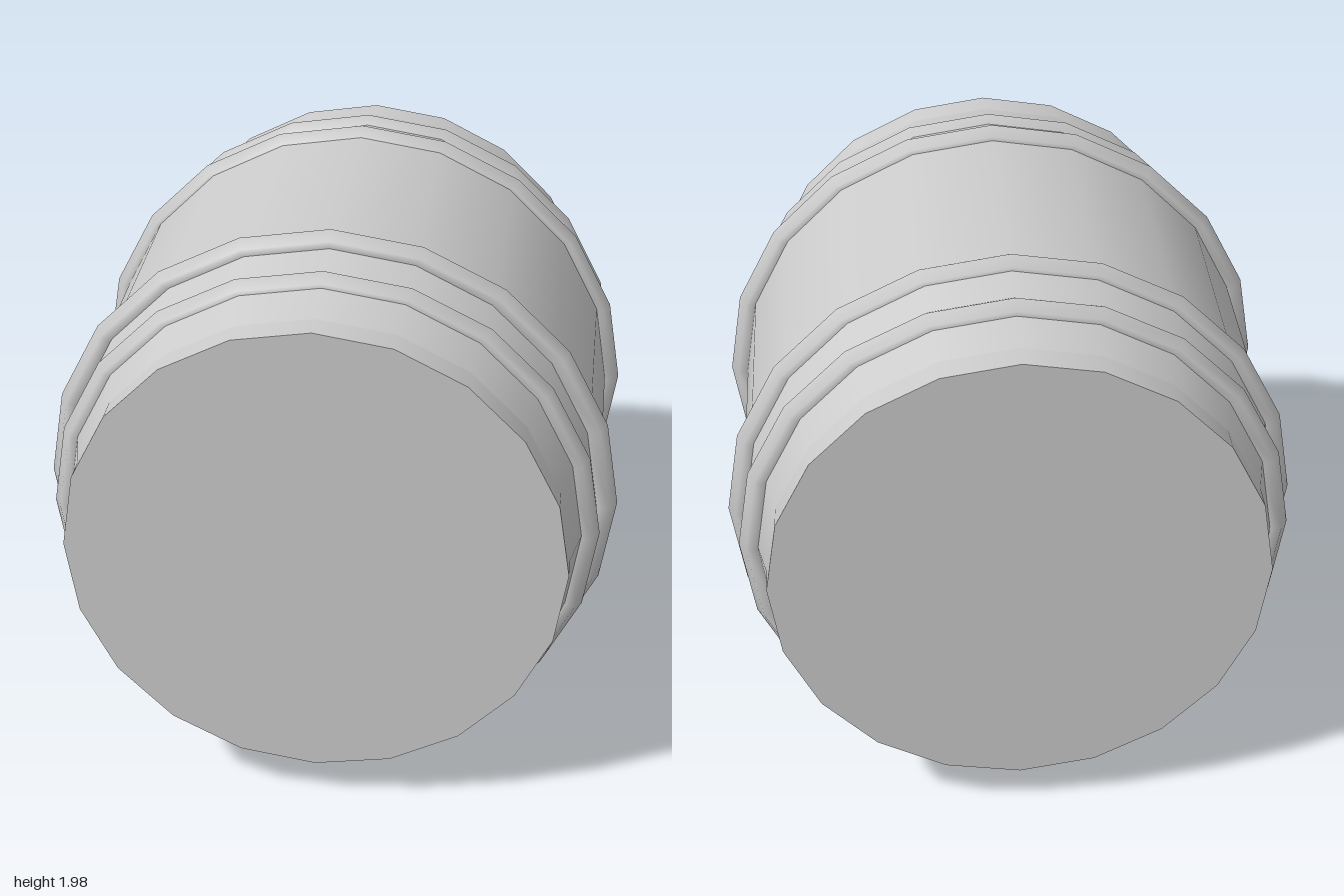
import * as THREE from 'three';

const SIDES = 20;
const CENTRE_Y = 1.004;

export function createModel() {
  const group = new THREE.Group();
  const material = new THREE.MeshStandardMaterial({ color: 0xcccccc });

  function add(name, geometry, y, z) {
    const mesh = new THREE.Mesh(geometry, material);
    mesh.name = name;
    mesh.position.set(0, y, z);
    group.add(mesh);
    return mesh;
  }

  // Open barrel section along z, from back to front
  function section(name, z0, r0, z1, r1) {
    const geometry = new THREE.CylinderGeometry(r1, r0, z1 - z0, SIDES, 1, true);
    geometry.rotateX(Math.PI / 2);
    add(name, geometry, CENTRE_Y, (z0 + z1) / 2);
  }

  // Barrel body: straight belly, tapered shoulders, short straight rims
  const belly = 0.936, rim = 0.848;
  section('belly', -0.466, belly, 0.466, belly);
  section('frontShoulder', 0.466, belly, 0.867, rim);
  section('backShoulder', -0.867, rim, -0.466, belly);
  section('frontRim', 0.867, rim, 0.966, rim);
  section('backRim', -0.966, rim, -0.867, rim);

  // Flat end lids
  add('frontLid', new THREE.CircleGeometry(rim, SIDES), CENTRE_Y, 0.966);
  add('backLid', new THREE.CircleGeometry(rim, SIDES).rotateY(Math.PI), CENTRE_Y, -0.966);

  // Hoops with a six-sided section: [name, z, outer half width, outer half height]
  const tube = 0.051;
  const hoops = [
    ['frontInnerHoop', 0.465, 0.998, 0.988],
    ['frontOuterHoop', 0.67, 0.942, 0.933],
    ['backInnerHoop', -0.468, 0.987, 0.976],
    ['backOuterHoop', -0.68, 0.946, 0.933],
  ];
  for (const [name, z, halfWidth, halfHeight] of hoops) {
    const geometry = new THREE.TorusGeometry(halfWidth - tube, tube, 6, SIDES);
    geometry.scale(1, halfHeight / halfWidth, 1);
    add(name, geometry, 0.993, z);
  }

  return group;
}
